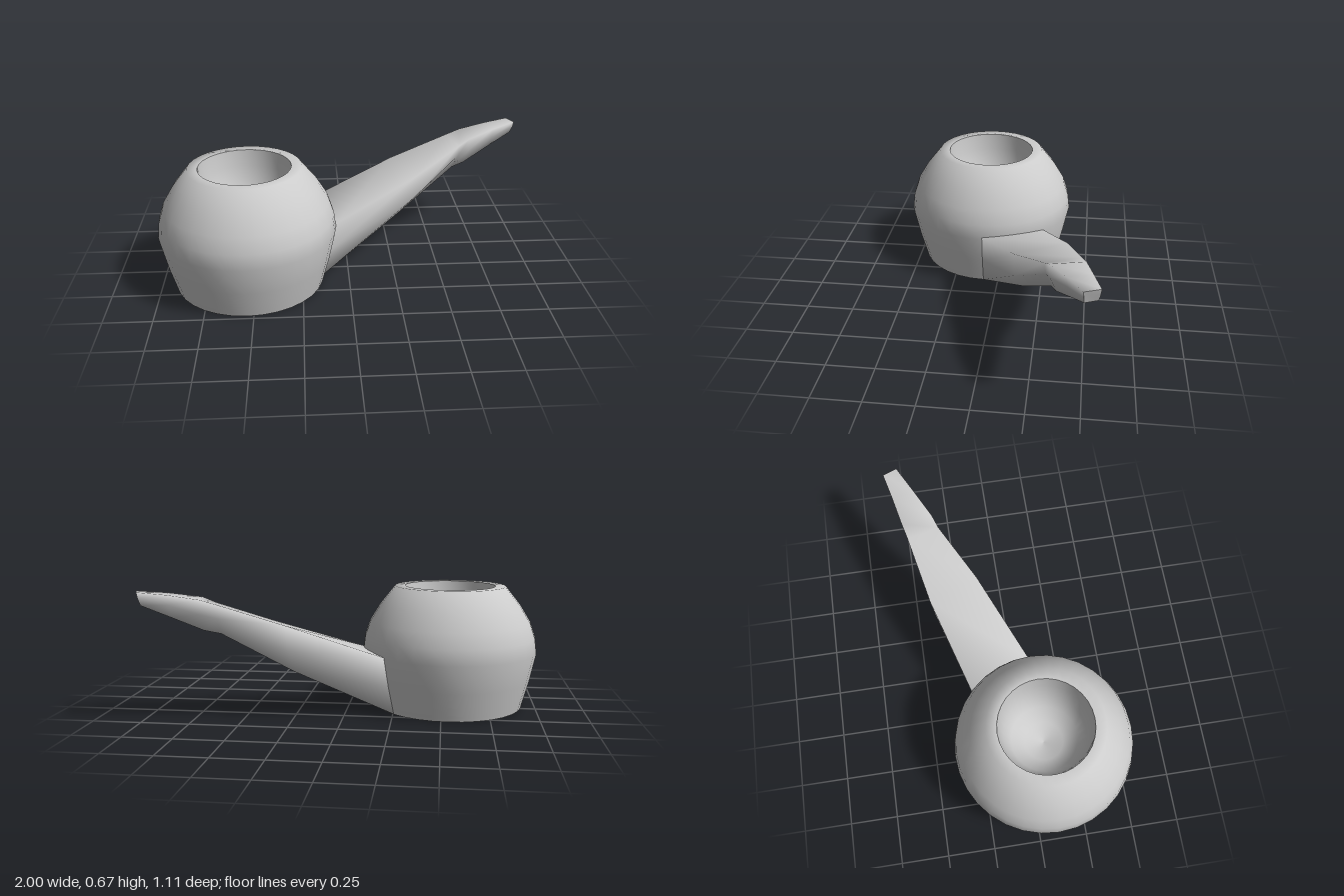
import * as THREE from 'three';

const material = new THREE.MeshStandardMaterial({ color: 0xcccccc });

function addMesh(parent, name, geometry) {
  const mesh = new THREE.Mesh(geometry, material);
  mesh.name = name;
  parent.add(mesh);
}

const lathe = (points) =>
  new THREE.LatheGeometry(points.map(([r, y]) => new THREE.Vector2(r, y)), 32);

// Skin a run of closed cross-sections, each a ring of [x, y, z] corners
function loft(sections) {
  const n = sections[0].length;
  const index = [];
  for (let i = 0; i < sections.length - 1; i++) {
    for (let j = 0; j < n; j++) {
      const a = i * n + j, b = i * n + ((j + 1) % n);
      index.push(a, b, a + n, b, b + n, a + n);
    }
  }
  return indexed(sections.flat(), index);
}

function indexed(points, index) {
  const geometry = new THREE.BufferGeometry();
  geometry.setAttribute('position', new THREE.Float32BufferAttribute(points.flat(), 3));
  geometry.setIndex(index);
  geometry.computeVertexNormals();
  return geometry;
}

export function createModel() {
  const model = new THREE.Group();
  model.name = 'smokingPipe';

  // Bowl: rounded outer wall with a soft rim, hollow chamber, flat base
  const bowl = new THREE.Group();
  bowl.name = 'bowl';
  bowl.position.set(-0.535, 0, 0.083);
  model.add(bowl);
  addMesh(bowl, 'bowlWall', lathe([
    [0.395, 0], [0.4, 0.02], [0.435, 0.15], [0.467, 0.3], [0.457, 0.38],
    [0.43, 0.46], [0.375, 0.55], [0.295, 0.65], [0.24, 0.65],
  ]));
  addMesh(bowl, 'chamber', lathe([
    [0.24, 0.65], [0.232, 0.56], [0.21, 0.47], [0.17, 0.39], [0.1, 0.335], [0, 0.31],
  ]));
  addMesh(bowl, 'bowlBase', lathe([[0, 0], [0.395, 0]]));

  // Stem: corners run front top, middle, bottom, then back bottom, middle, top
  const sections = [
    [[-0.07, 0.31, 0.083], [-0.1, 0.15, 0.083], [-0.14, 0, 0.083],
      [-0.256, 0, -0.195], [-0.228, 0.15, -0.225], [-0.205, 0.31, -0.25]],
    [[0.38, 0.475, -0.135], [0.38, 0.35, -0.14], [0.31, 0.25, -0.18],
      [0.24, 0.25, -0.35], [0.26, 0.36, -0.39], [0.27, 0.49, -0.4]],
    [[0.65, 0.59, -0.3], [0.65, 0.53, -0.31], [0.62, 0.45, -0.335],
      [0.59, 0.45, -0.43], [0.6, 0.53, -0.465], [0.6, 0.6, -0.47]],
    [[0.71, 0.62, -0.325], [0.71, 0.55, -0.33], [0.69, 0.468, -0.36],
      [0.67, 0.468, -0.45], [0.68, 0.55, -0.485], [0.68, 0.625, -0.49]],
    [[0.86, 0.648, -0.405], [0.86, 0.6, -0.41], [0.84, 0.535, -0.43],
      [0.82, 0.535, -0.49], [0.83, 0.6, -0.52], [0.83, 0.65, -0.522]],
    [[1, 0.665, -0.48], [0.995, 0.635, -0.482], [0.98, 0.6, -0.485],
      [0.955, 0.6, -0.545], [0.965, 0.635, -0.552], [0.97, 0.665, -0.555]],
  ];
  const stem = new THREE.Group();
  stem.name = 'stem';
  model.add(stem);
  addMesh(stem, 'stemBody', loft(sections));

  // Flat end of the mouthpiece
  const tip = sections[sections.length - 1];
  addMesh(stem, 'mouthpieceEnd', indexed(tip, [0, 1, 2, 0, 2, 3, 0, 3, 4, 0, 4, 5]));

  return model;
}
